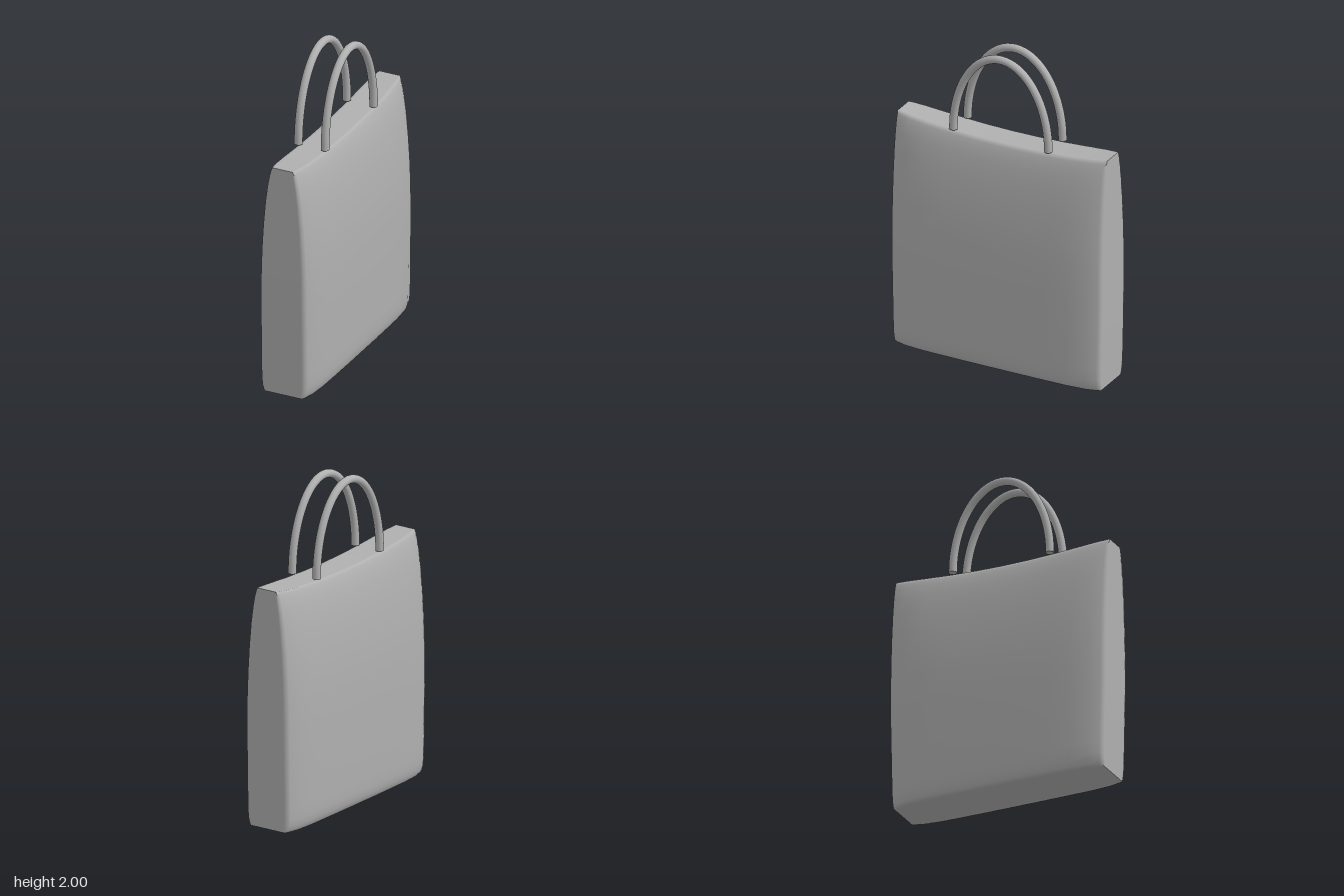
import * as THREE from 'three';
import { toCreasedNormals } from 'three/addons/utils/BufferGeometryUtils.js';

// Piecewise linear lookup in a list of [key, value] pairs
function lookup(table, k) {
  for (let i = 1; i < table.length; i++) {
    const [k0, v0] = table[i - 1], [k1, v1] = table[i];
    if (k <= k1) return v0 + (v1 - v0) * (k - k0) / (k1 - k0);
  }
  return table[table.length - 1][1];
}

// Half thickness along the width, and its scale along the height
const THICKNESS = [[0, 0.185], [0.35, 0.185], [0.7, 0.181], [0.87, 0.17], [0.97, 0.15], [1, 0.14]];
const SCALE = [[0, 0.87], [0.015, 0.92], [0.04, 0.965], [0.08, 0.99], [0.15, 1], [0.6, 1], [0.8, 0.985], [0.95, 0.945],
  [1.1, 0.88], [1.25, 0.785], [1.35, 0.69], [1.42, 0.6], [1.455, 0.53], [1.475, 0.48]];
const COLUMNS = [-1, -0.97, -0.87, -0.7, -0.5, -0.25, 0, 0.25, 0.5, 0.7, 0.87, 0.97, 1];
const ROWS = SCALE.map(([y]) => y);
const DEPTHS = [-1, -0.85, 0, 0.85, 1];

// Bag body: a box grid remapped to a bulging, tapering shape with a sagging top
function bodyGeometry() {
  const nx = COLUMNS.length - 1, ny = ROWS.length - 1, nz = DEPTHS.length - 1;
  const geo = new THREE.BoxGeometry(1, 1, 1, nx, ny, nz);
  const p = geo.attributes.position;
  for (let i = 0; i < p.count; i++) {
    const u = COLUMNS[Math.round((p.getX(i) + 0.5) * nx)];
    const y = ROWS[Math.round((p.getY(i) + 0.5) * ny)];
    const d = DEPTHS[Math.round((p.getZ(i) + 0.5) * nz)];
    const half = 0.68 + 0.012 * Math.min(1, y / 0.6);
    const sag = 1 - 0.028 * (1 - u * u) * (y / 1.475) ** 2;
    p.setXYZ(i, u * half, y * sag, d * lookup(THICKNESS, Math.abs(u)) * lookup(SCALE, y));
  }
  return toCreasedNormals(geo, 1.36);
}

// Handle: half an ellipse swept as a tube, with flat ends
function makeHandle(material) {
  const group = new THREE.Group();
  const a = 0.314, b = 0.52, base = 1.455, r = 0.025;
  const points = [];
  for (let i = 0; i <= 20; i++) {
    const t = Math.PI * (1 - i / 20);
    points.push(new THREE.Vector3(a * Math.cos(t), base + b * Math.sin(t), 0));
  }
  const tube = new THREE.Mesh(
    new THREE.TubeGeometry(new THREE.CatmullRomCurve3(points), 48, r, 16), material);
  tube.name = 'handleTube';
  group.add(tube);
  for (const side of [-1, 1]) {
    const end = new THREE.Mesh(new THREE.CircleGeometry(r, 16), material);
    end.name = 'handleEnd';
    end.rotation.x = Math.PI / 2;
    end.position.set(side * a, base, 0);
    group.add(end);
  }
  return group;
}

export function createModel() {
  const model = new THREE.Group();
  const grey = new THREE.MeshStandardMaterial({ color: 0xb0b0b0 });
  grey.name = 'grey';

  // The bag stands turned about its vertical axis
  const bag = new THREE.Group();
  bag.name = 'bag';
  bag.rotation.y = THREE.MathUtils.degToRad(29);
  model.add(bag);

  const body = new THREE.Mesh(bodyGeometry(), grey);
  body.name = 'body';
  bag.add(body);

  for (const [name, z] of [['frontHandle', 0.087], ['backHandle', -0.087]]) {
    const handle = makeHandle(grey);
    handle.name = name;
    handle.position.z = z;
    bag.add(handle);
  }
  return model;
}
